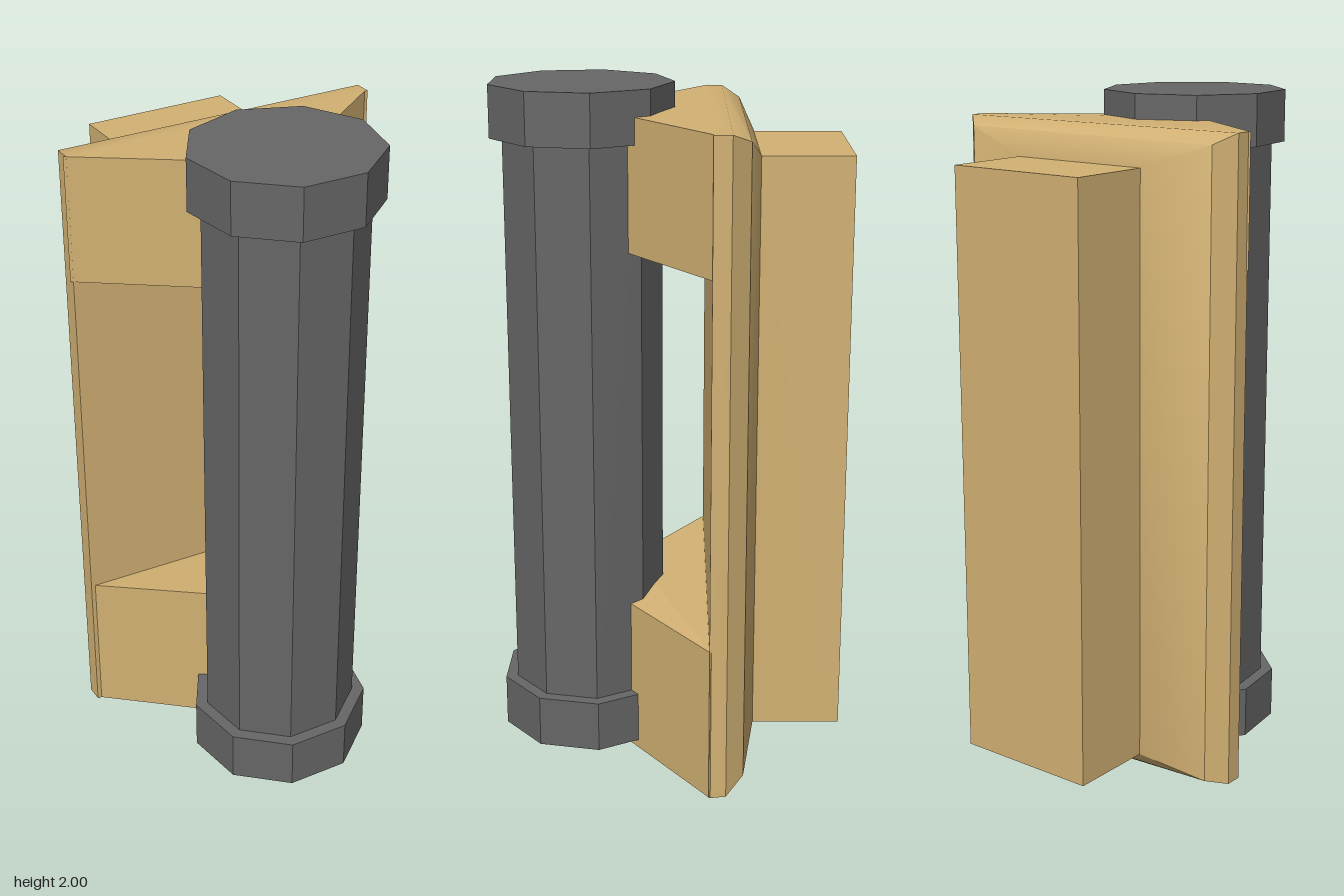
import * as THREE from 'three';
import { ConvexGeometry } from 'three/addons/geometries/ConvexGeometry.js';
import { toCreasedNormals } from 'three/addons/utils/BufferGeometryUtils.js';

const wood = new THREE.MeshStandardMaterial({ color: 0xd2b173 });
const iron = new THREE.MeshStandardMaterial({ color: 0x666666, flatShading: true });

// Solid through four-cornered sections: [z, xLeft, xRight, bottomAtMinusX, bottomAtPlusX, topAtMinusX, topAtPlusX]
function loft(name, sections, crease = 0.1) {
  const points = [];
  for (const [z, x0, x1, b0, b1, t0, t1] of sections) {
    points.push(
      new THREE.Vector3(x0, b0, z), new THREE.Vector3(x1, b1, z),
      new THREE.Vector3(x1, t1, z), new THREE.Vector3(x0, t0, z));
  }
  const mesh = new THREE.Mesh(toCreasedNormals(new ConvexGeometry(points), crease), wood);
  mesh.name = name;
  return mesh;
}

// Nine-sided upright drum
function drum(name, radius, y0, y1) {
  const start = THREE.MathUtils.degToRad(178);
  const geometry = new THREE.CylinderGeometry(radius, radius, y1 - y0, 9, 1, false, start);
  const mesh = new THREE.Mesh(geometry, iron);
  mesh.name = name;
  mesh.position.set(-0.026, (y0 + y1) / 2, 0.254);
  return mesh;
}

export function createModel() {
  const model = new THREE.Group();
  model.name = 'bracketedPost';

  // Post with a wider cap at each end
  const post = new THREE.Group();
  post.name = 'post';
  post.add(
    drum('shaft', 0.231, 0.1, 1.9),
    drum('lowerCap', 0.268, 0.025, 0.18),
    drum('upperCap', 0.268, 1.85, 2));

  // Back plate, bevelled toward the rear and slightly crooked
  const bracket = new THREE.Group();
  bracket.name = 'bracket';
  bracket.add(loft('plate', [
    [-0.11, -0.478, 0.478, 0.06, 0, 1.93, 1.925],
    [-0.16, -0.478, 0.478, 0.06, 0.005, 1.93, 1.925],
    [-0.212, -0.43, 0.425, 0.075, 0.045, 1.9, 1.9],
    [-0.248, -0.22, 0.22, 0.11, 0.11, 1.83, 1.83],
  ], 0.6));

  // Tapered arms that hold the post
  bracket.add(
    loft('lowerArm', [
      [-0.115, -0.472, 0.48, 0.06, 0, 0.51, 0.465],
      [0.12, -0.145, 0.145, 0.03, 0, 0.5, 0.468],
    ]),
    loft('upperArm', [
      [-0.115, -0.485, 0.475, 1.56, 1.54, 1.93, 1.925],
      [0.12, -0.145, 0.145, 1.555, 1.542, 1.93, 1.926],
    ]));

  // Rear block
  bracket.add(loft('rearBlock', [
    [-0.23, -0.22, 0.218, 0.11, 0.11, 1.828, 1.828],
    [-0.507, -0.22, 0.218, 0.11, 0.11, 1.828, 1.828],
  ]));

  model.add(post, bracket);
  return model;
}
